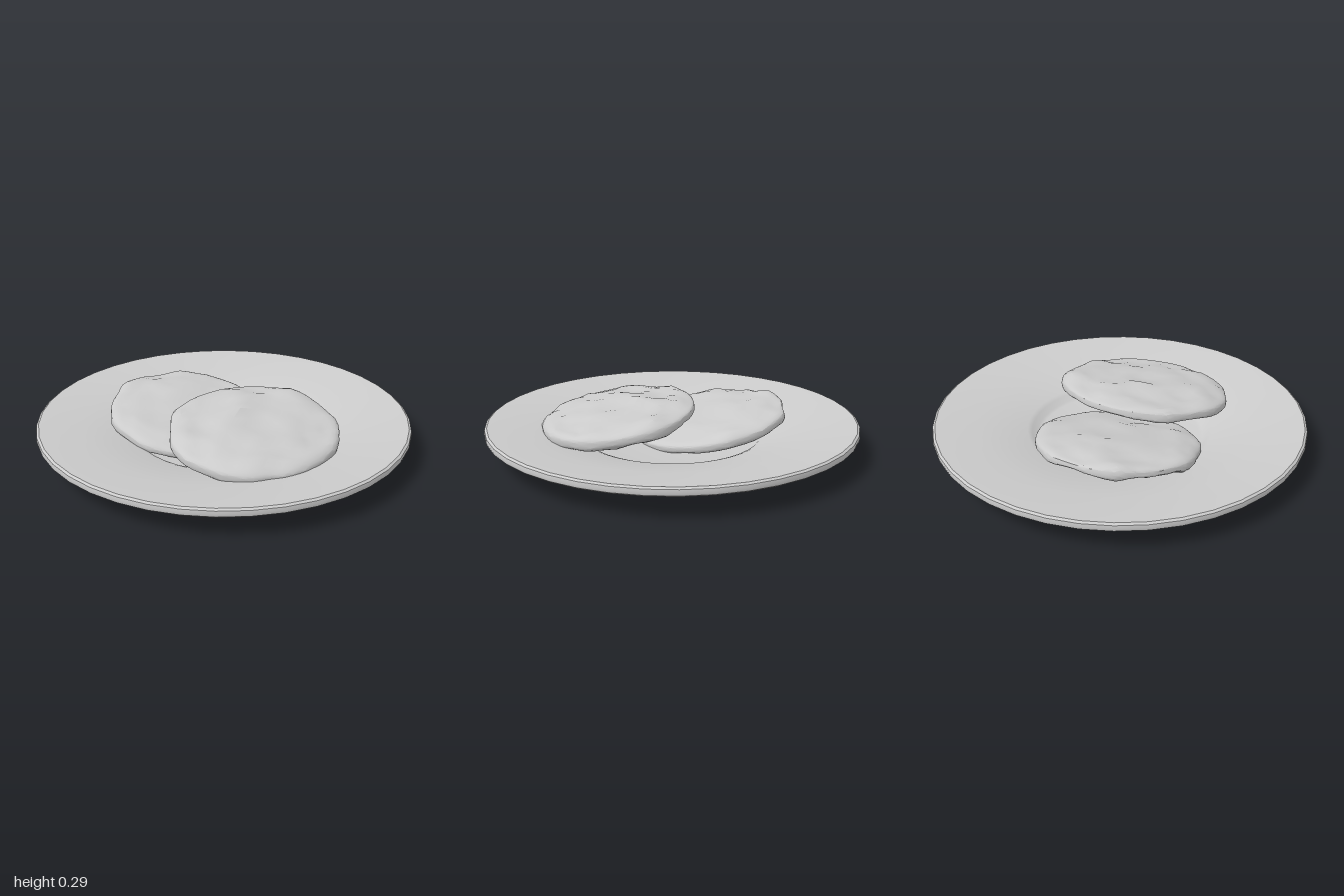
import * as THREE from 'three';
import { mergeVertices, toCreasedNormals } from 'three/addons/utils/BufferGeometryUtils.js';

const material = new THREE.MeshStandardMaterial({ color: 0xcccccc });

// Repeatable lattice noise in the range -1..1
function hash(i, j, k, seed) {
  const s = Math.sin(i * 127.1 + j * 311.7 + k * 74.7 + seed * 53.3) * 43758.5453;
  return (s - Math.floor(s)) * 2 - 1;
}

function noise(x, y, z, seed) {
  const cell = [x, y, z].map(Math.floor);
  const f = [x, y, z].map((v, n) => THREE.MathUtils.smoothstep(v - cell[n], 0, 1));
  let sum = 0;
  for (let c = 0; c < 8; c++) {
    const d = [c & 1, (c >> 1) & 1, c >> 2];
    const weight = d.reduce((w, on, n) => w * (on ? f[n] : 1 - f[n]), 1);
    sum += weight * hash(cell[0] + d[0], cell[1] + d[1], cell[2] + d[2], seed);
  }
  return sum;
}

// Plate: foot, sloping underside, rim, well and floor turned in one profile
function makePlate() {
  const profile = [
    [0, 0], [0.455, 0], [0.47, 0.008], [0.52, 0.05], [0.89, 0.115], [0.985, 0.119],
    [0.997, 0.128], [1, 0.142], [0.997, 0.158], [0.985, 0.166],
    [0.755, 0.14], [0.5, 0.09], [0.475, 0.08], [0.45, 0.055], [0.43, 0.05], [0, 0.05],
  ].map(([r, y]) => new THREE.Vector2(r, y));
  const plate = new THREE.Mesh(
    toCreasedNormals(new THREE.LatheGeometry(profile, 40), 0.6), material);
  plate.name = 'plate';
  return plate;
}

// Patty: a sphere flattened into a round-edged disc, then made lumpy
function makePatty(name, rx, ry, rz, seed) {
  let geometry = new THREE.IcosahedronGeometry(1, 8);
  geometry.deleteAttribute('normal');
  geometry.deleteAttribute('uv');
  geometry = mergeVertices(geometry, 1e-4);
  const pos = geometry.attributes.position;
  for (let i = 0; i < pos.count; i++) {
    const x = pos.getX(i), y = pos.getY(i), z = pos.getZ(i);
    const r = Math.hypot(x, z);
    const spread = r > 1e-5 ? Math.pow(r, 0.8) / r : 1;
    const px = x * spread * rx;
    const py = Math.sign(y) * Math.pow(Math.abs(y), 0.6) * ry;
    const pz = z * spread * rz;
    const lump = noise(px * 8, py * 8, pz * 8, seed);
    const grain = noise(px * 16, py * 16, pz * 16, seed + 7);
    const outline = 1 + r * r * (0.03 * lump + 0.012 * grain);
    const bump = Math.sign(y) * Math.min(1, Math.abs(y) * 2) * (0.016 * lump + 0.009 * grain);
    pos.setXYZ(i, px * outline, py + bump, pz * outline);
  }
  const patty = new THREE.Mesh(toCreasedNormals(geometry, 0.45), material);
  patty.name = name;
  return patty;
}

export function createModel() {
  const group = new THREE.Group();
  group.name = 'plateOfPatties';

  // Lower patty rests in the well, its outer edge up on the slope
  const lower = makePatty('lowerPatty', 0.42, 0.052, 0.43, 3);
  lower.position.set(-0.22, 0.122, 0.07);
  lower.rotation.z = -0.18;

  // Upper patty leans on the lower one
  const upper = makePatty('upperPatty', 0.415, 0.063, 0.465, 11);
  upper.position.set(0.28, 0.182, 0.045);
  upper.rotation.set(0.03, 0, -0.15);

  group.add(makePlate(), lower, upper);
  return group;
}
